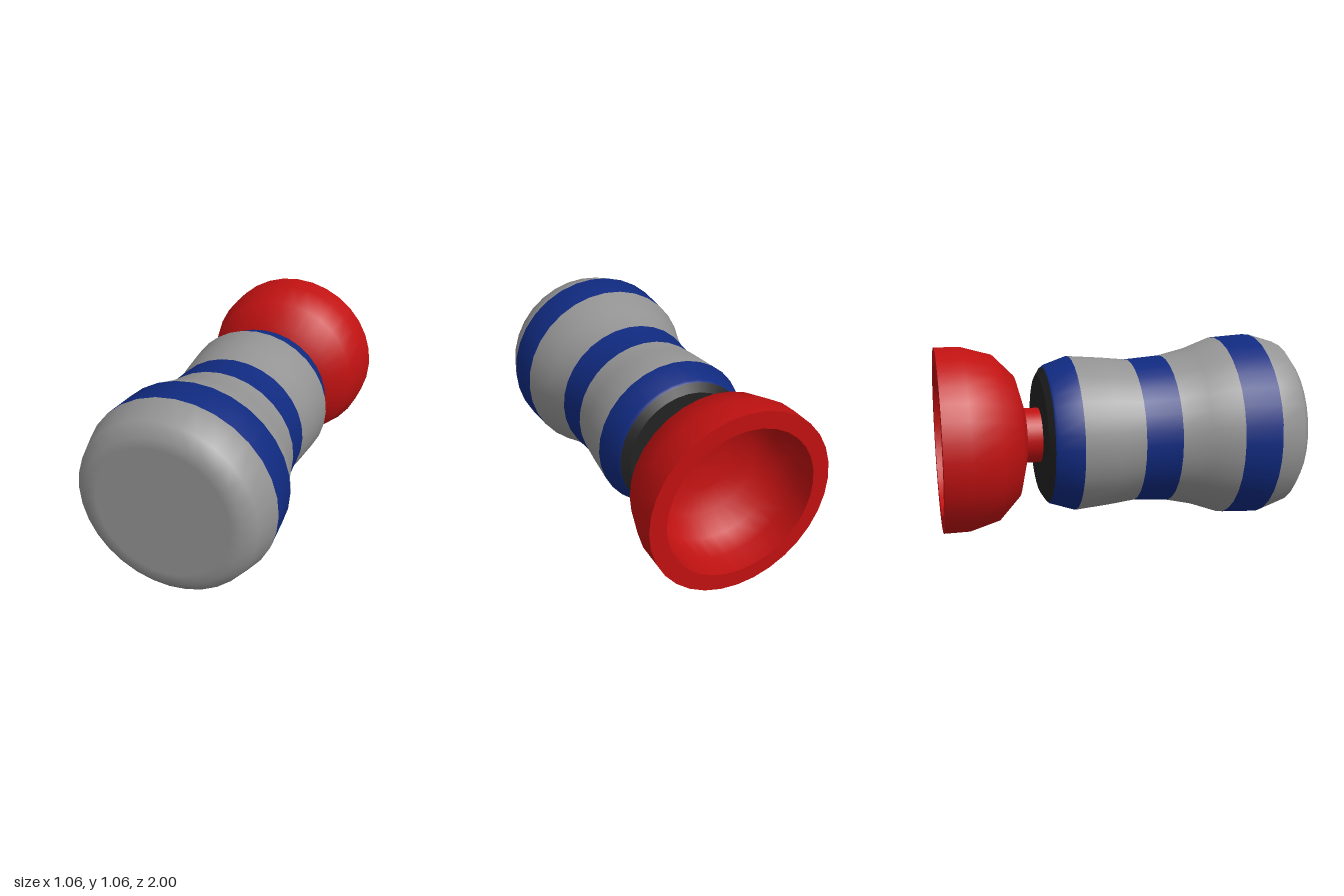
import * as THREE from 'three';

const SEGMENTS = 32;
const AXIS_Y = 0.53;

const flat = (name, color) => {
  const material = new THREE.MeshStandardMaterial({ color });
  material.name = name;
  return material;
};

// Surface of revolution about the z axis; profile points are [radius, z].
// Points running towards +z give a surface that faces outwards.
function turned(name, profile, material) {
  const geometry = new THREE.LatheGeometry(
    profile.map(([r, z]) => new THREE.Vector2(r, z)), SEGMENTS);
  geometry.rotateX(Math.PI / 2);
  const mesh = new THREE.Mesh(geometry, material);
  mesh.name = name;
  return mesh;
}

// Regroup a turned surface so each profile span gets its own colour,
// while the normals stay smooth across the colour borders.
function paintSpans(mesh, spanColours) {
  const rows = spanColours.length + 1;
  const index = [];
  mesh.geometry.clearGroups();
  spanColours.forEach((colour, j) => {
    mesh.geometry.addGroup(index.length, SEGMENTS * 6, colour);
    for (let i = 0; i < SEGMENTS; i++) {
      const a = i * rows + j, b = a + rows;
      index.push(a, b, a + 1, b + 1, a + 1, b);
    }
  });
  mesh.geometry.setIndex(index);
}

export function createModel() {
  const model = new THREE.Group();
  model.name = 'handheldPlunger';

  const grey = flat('grey', 0x949494);
  const blue = flat('navy blue', 0x102a80);
  const black = flat('black', 0x222222);
  const red = flat('red', 0xc01111);

  // Waisted body with painted bands, from the back bevel to the front face
  const body = turned('bandedBody', [
    [0.38, -0.417], [0.39, -0.405], [0.436, -0.27], [0.42, -0.07], [0.405, 0.07],
    [0.42, 0.27], [0.457, 0.43], [0.515, 0.59], [0.528, 0.8], [0.482, 0.95],
    [0.42, 1], [0.36, 1], [0, 1],
  ], [grey, blue]);
  paintSpans(body, [1, 1, 0, 0, 1, 0, 0, 1, 0, 0, 0, 0]);

  // Dark bevel and plate closing the back of the body
  const bevel = turned('backBevel', [[0.335, -0.445], [0.38, -0.417]], black);
  const plate = turned('backPlate', [[0, -0.445], [0.335, -0.445]], black);

  // Short stem joining the body to the cup
  const stem = turned('stem', [[0.153, -0.55], [0.153, -0.44]], red);

  // Hollow cup opening towards the back
  const cup = new THREE.Group();
  cup.name = 'cup';
  cup.add(
    turned('cupInside', [
      [0, -0.62], [0.14, -0.625], [0.28, -0.665], [0.37, -0.75], [0.41, -0.87], [0.415, -1],
    ], red),
    turned('cupRim', [[0.415, -1], [0.507, -1]], red),
    turned('cupOutside', [
      [0.507, -1], [0.507, -0.86], [0.46, -0.695], [0.342, -0.58], [0.175, -0.533], [0, -0.533],
    ], red),
  );

  model.add(body, bevel, plate, stem, cup);
  model.children.forEach((part) => { part.position.y = AXIS_Y; });
  return model;
}
